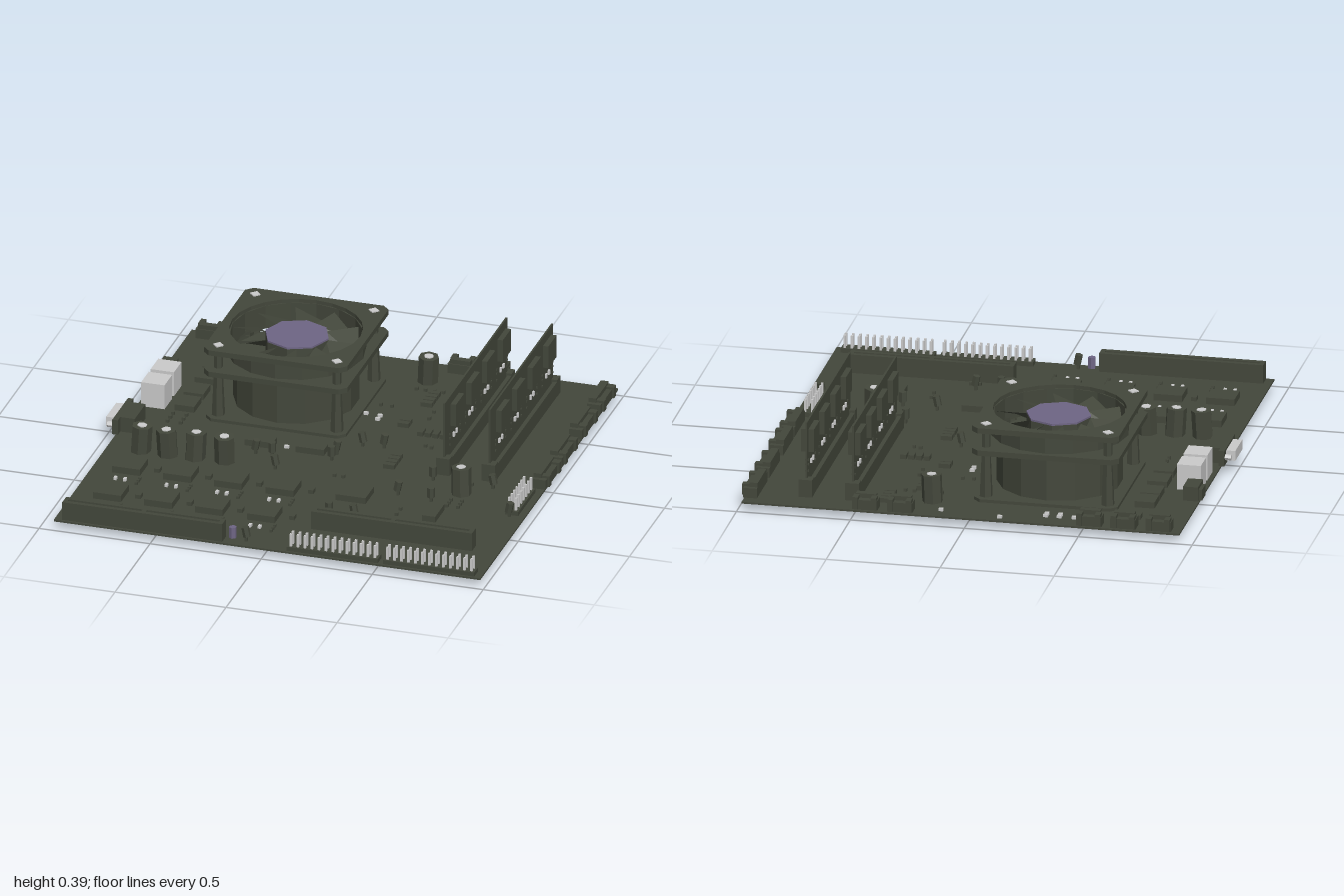
import * as THREE from 'three';

const green = new THREE.MeshStandardMaterial({ color: 0x43473b, flatShading: true });
green.name = 'dark green';
const blade = new THREE.MeshStandardMaterial({ color: 0x43473b, flatShading: true, side: THREE.DoubleSide });
blade.name = 'dark green sheet';
const grey = new THREE.MeshStandardMaterial({ color: 0xcacaca, flatShading: true });
grey.name = 'light grey';
const purple = new THREE.MeshStandardMaterial({ color: 0x6e6584, flatShading: true });
purple.name = 'muted purple';

const TOP = 0.041; // upper face of the board

export function createModel() {
  const root = new THREE.Group();
  root.name = 'computerBoard';

  const add = (name, geo, mat, x = 0, y = 0, z = 0, parent = root) => {
    const m = new THREE.Mesh(geo, mat);
    m.name = name;
    m.position.set(x, y, z);
    parent.add(m);
    return m;
  };
  // box given by its limits
  const box = (name, x0, x1, y0, y1, z0, z1, mat = green, parent = root) =>
    add(name, new THREE.BoxGeometry(x1 - x0, y1 - y0, z1 - z0), mat,
      (x0 + x1) / 2, (y0 + y1) / 2, (z0 + z1) / 2, parent);
  // box centred on x, z and standing on the board
  const chip = (name, x, z, w, d, h, mat = green) =>
    box(name, x - w / 2, x + w / 2, TOP, TOP + h, z - d / 2, z + d / 2, mat);

  box('board', -0.94, 0.98, 0.033, TOP, -0.985, 0.98);

  // cooler with fan
  const cooler = new THREE.Group();
  cooler.name = 'cooler';
  cooler.position.set(-0.305, 0, -0.463);
  root.add(cooler);
  const frame = (name, half, hole, y, t) => {
    const s = new THREE.Shape(), c = 0.03;
    [[-half + c, -half], [half - c, -half], [half, -half + c], [half, half - c],
      [half - c, half], [-half + c, half], [-half, half - c], [-half, -half + c]]
      .forEach(([x, z], i) => (i ? s.lineTo(x, z) : s.moveTo(x, z)));
    if (hole) s.holes.push(new THREE.Path().absarc(0, 0, hole, 0, Math.PI * 2, true));
    const g = new THREE.ExtrudeGeometry(s, { depth: t, bevelEnabled: false, curveSegments: 12 });
    g.rotateX(-Math.PI / 2);
    return add(name, g, green, 0, y, 0, cooler);
  };
  frame('upperFrame', 0.323, 0.288, 0.358, 0.024);
  frame('lowerFrame', 0.323, 0.288, 0.256, 0.024);
  frame('coolerBase', 0.315, 0, TOP, 0.014);
  frame('backPlate', 0.315, 0, 0.024, 0.0095);
  add('fanShroud', new THREE.LatheGeometry([[0.286, 0.27], [0.302, 0.27], [0.302, 0.365], [0.286, 0.365], [0.286, 0.27]]
    .map(p => new THREE.Vector2(...p)), 16), blade, 0, 0, 0, cooler);
  add('heatSink', new THREE.CylinderGeometry(0.272, 0.272, 0.21, 14), green, 0, 0.15, 0, cooler);
  add('fanHub', new THREE.CylinderGeometry(0.142, 0.142, 0.095, 8), green, 0.005, 0.3, 0.003, cooler);
  add('fanHubCap', new THREE.CylinderGeometry(0.142, 0.142, 0.008, 8), purple, 0.005, 0.352, 0.003, cooler);
  for (let i = 0; i < 10; i++) {
    const a = i * Math.PI / 5, b = a + 0.64;
    const g = new THREE.BufferGeometry();
    const p = (r, t, y) => [r * Math.cos(t), y, r * Math.sin(t)];
    g.setAttribute('position', new THREE.Float32BufferAttribute([
      ...p(0.135, a, 0.345), ...p(0.283, a, 0.345), ...p(0.283, b, 0.275), ...p(0.135, b, 0.275)], 3));
    g.setIndex([0, 2, 1, 0, 3, 2]);
    g.computeVertexNormals();
    add('fanBlade', g, blade, 0, 0, 0, cooler);
  }
  for (const sx of [-1, 1]) for (const sz of [-1, 1]) {
    const x = sx * 0.267, z = sz * 0.263;
    add('coolerPillar', new THREE.CylinderGeometry(0.02, 0.03, 0.22, 6), green, x, 0.15, z, cooler);
    add('framePost', new THREE.CylinderGeometry(0.02, 0.02, 0.085, 6), green, x, 0.318, z, cooler);
    add('frameScrew', new THREE.CylinderGeometry(0.024, 0.024, 0.006, 4), grey, x, 0.384, z, cooler);
    add('bottomPeg', new THREE.CylinderGeometry(0.016, 0.016, 0.026, 6), green, x, 0.013, z, cooler);
  }

  // memory sockets and modules
  for (const x of [0.52, 0.725]) {
    box('socketFloor', x - 0.028, x + 0.028, TOP, 0.075, -0.86, 0.04);
    for (const s of [-1, 1])
      box('socketWall', x + s * 0.02 - 0.009, x + s * 0.02 + 0.009, TOP, 0.11, -0.84, 0.02);
    for (const z of [-0.85, 0.035]) box('socketLatch', x - 0.03, x + 0.03, TOP, 0.12, z - 0.023, z + 0.023);
    box('memoryModule', x - 0.004, x + 0.004, 0.06, 0.375, -0.85, 0.04);
    for (let i = 0; i < 4; i++) {
      const z = -0.1 - i * 0.222;
      box('memoryChip', x - 0.028, x + 0.028, 0.232, 0.335, z - 0.059, z + 0.059);
      for (const o of [-0.015, 0.025])
        box('memoryContact', x - 0.012, x + 0.012, 0.167, 0.187, z + o - 0.007, z + o + 0.007, grey);
      for (const o of [-0.07, 0.075])
        for (const y of [0.15, 0.18, 0.2]) box('memoryResistor', x - 0.009, x + 0.009, y - 0.004, y + 0.004, z + o - 0.004, z + o + 0.004);
    }
  }

  // expansion slots: long box with a groove
  for (const [x0, x1, z] of [[-0.905, -0.185, 0.942], [0.14, 0.865, 0.706]]) {
    box('slotFloor', x0, x1, TOP, 0.1, z - 0.028, z + 0.028);
    for (const s of [-1, 1]) box('slotWall', x0, x1, 0.1, 0.125, z + s * 0.018 - 0.01, z + s * 0.018 + 0.01);
    for (const x of [x0 + 0.01, (x0 + x1) / 2, x1 - 0.01]) box('slotKey', x - 0.01, x + 0.01, 0.1, 0.125, z - 0.028, z + 0.028);
  }

  // pin headers
  const pins = (x0, x1, z0, z1, nx, nz) => {
    box('headerBase', x0, x1, TOP, 0.06, z0, z1);
    for (let i = 0; i < nx; i++) for (let j = 0; j < nz; j++) {
      const x = x0 + (x1 - x0) * (i + 0.5) / nx, z = z0 + (z1 - z0) * (j + 0.5) / nz;
      box('headerPin', x - 0.005, x + 0.005, 0.06, 0.118, z - 0.005, z + 0.005, grey);
    }
  };
  pins(0.105, 0.515, 0.915, 0.97, 13, 2);
  pins(0.54, 0.95, 0.915, 0.97, 13, 2);
  pins(0.89, 0.95, 0.1, 0.345, 2, 7);

  // edge sockets: body, raised rim and two ribs
  for (const z of [-0.823, -0.563, -0.278, -0.045]) {
    box('sideSocket', 0.925, 0.985, TOP, 0.085, z - 0.108, z + 0.108);
    box('sideSocketRidge', 0.925, 0.96, 0.085, 0.105, z - 0.09, z + 0.09);
    for (const o of [-0.07, 0.07]) box('sideSocketLug', 0.96, 0.995, 0.045, 0.095, z + o - 0.015, z + o + 0.015);
  }
  for (const x of [-0.845, -0.69, -0.54, 0.29, 0.443]) {
    box('rearSocket', x - 0.055, x + 0.055, TOP, 0.085, -0.975, -0.91);
    box('rearSocketRidge', x - 0.045, x + 0.045, 0.085, 0.105, -0.945, -0.915);
    for (const o of [-0.04, 0.04]) box('rearSocketLug', x + o - 0.012, x + o + 0.012, 0.045, 0.1, -0.985, -0.94);
  }

  // ports on the left edge of the plan
  box('smallPort', -0.935, -0.87, TOP, 0.105, -0.575, -0.47);
  box('smallPortLip', -0.95, -0.93, TOP, 0.09, -0.56, -0.485);
  for (const z of [-0.39, -0.255]) box('whitePort', -0.92, -0.815, TOP, 0.155, z - 0.054, z + 0.054, grey);
  box('screenPortBody', -0.935, -0.865, TOP, 0.11, -0.09, 0.065);
  box('screenPortFlange', -0.955, -0.93, TOP, 0.11, -0.125, 0.1);
  box('screenPortShell', -0.995, -0.95, 0.055, 0.1, -0.085, 0.06, grey);
  for (const z of [-0.105, 0.08]) {
    const nut = add('screenPortNut', new THREE.CylinderGeometry(0.013, 0.013, 0.035, 6), grey, -0.965, 0.077, z);
    nut.rotation.z = Math.PI / 2;
  }

  // capacitors
  [[-0.79, 0.218], [-0.665, 0.222], [-0.545, 0.217], [-0.413, 0.208], [0.65, 0.205], [0.18, -0.805]].forEach(([x, z], i) => {
    const cap = new THREE.Group();
    cap.name = 'capacitor';
    cap.position.set(x, TOP - 0.003, z);
    cap.rotation.set(0, i * 0.5, (i % 2 ? 0.06 : -0.06));
    root.add(cap);
    add('capacitorBody', new THREE.CylinderGeometry(0.045, 0.045, 0.125, 7), green, 0, 0.0625, 0, cap);
    add('capacitorTop', new THREE.CylinderGeometry(0.022, 0.022, 0.005, 6), grey, 0, 0.126, 0, cap);
  });

  // regulator chips with their contacts
  for (const z of [0.402, 0.672]) for (const x of [-0.78, -0.55, -0.322, -0.088]) {
    chip('largeChip', x, z, 0.125, 0.113, 0.03);
    for (const o of [-0.028, 0.015]) chip('chipContact', x + o, z + 0.117, 0.013, 0.02, 0.012, grey);
    for (const o of [0.09, 0.115, 0.14]) chip('resistor', x + 0.073, z + o, 0.012, 0.012, 0.012);
    chip('smallChip', x + 0.122, z - 0.015, 0.024, 0.035, 0.018);
  }
  // other chips: x, z, width, depth
  for (const [x, z, w, d] of [[-0.727, -0.65, 0.088, 0.1], [-0.727, -0.538, 0.088, 0.1], [-0.727, -0.388, 0.088, 0.105],
    [-0.727, -0.258, 0.088, 0.105], [-0.318, 0.003, 0.128, 0.058], [-0.088, 0.003, 0.128, 0.058],
    [0.222, 0.37, 0.135, 0.12], [0.6, 0.45, 0.06, 0.13]]) chip('flatChip', x, z, w, d, 0.028);

  // resistor rows: x, z, step x, step z, count
  for (const [x, z, dx, dz, n] of [[0.25, -0.675, 0, 0.034, 4], [0.375, -0.855, 0, 0.034, 4], [0.28, -0.045, 0, 0.034, 4],
    [0.31, -0.3, 0.034, 0, 4], [0.215, -0.385, 0, 0.034, 2], [-0.728, -0.83, 0.034, 0, 2]])
    for (let i = 0; i < n; i++) chip('resistorBlock', x + dx * i, z + dz * i, dx ? 0.026 : 0.05, dx ? 0.045 : 0.026, 0.02);

  // transistors
  [[-0.31, 0.096], [-0.235, 0.1], [-0.185, 0.215], [0.025, 0], [0.02, 0.06], [0.105, -0.112], [0.2, -0.122], [0.495, 0.118],
    [0.765, 0.118], [0.395, 0.3], [0.55, 0.32], [0.285, 0.58], [0.915, 0.358], [0.175, 0.588], [-0.09, 0.93]].forEach(([x, z], i) => {
    const t = add('transistor', new THREE.CylinderGeometry(0.017, 0.017, 0.045, 6), green, x, 0.085, z);
    t.rotation.z = 0.2 * (i % 3 - 1);
    add('transistorLeg', new THREE.BoxGeometry(0.012, 0.03, 0.012), green, x, 0.053, z);
  });
  add('indicator', new THREE.CylinderGeometry(0.017, 0.017, 0.05, 6), purple, -0.15, 0.075, 0.93);

  // scattered tiny parts: x, z, step x, step z, count
  for (const [x, z, dx, dz, n] of [[0.16, -0.71, 0.04, 0, 5], [0.06, -0.515, 0.05, 0, 2], [0.3, -0.515, 0, 0.07, 2],
    [-0.765, -0.165, 0, 0.04, 3], [-0.705, -0.165, 0, 0.04, 3], [0.63, 0.29, 0, 0.03, 3], [0.68, 0.29, 0, 0.03, 3],
    [0.365, -0.185, 0.03, 0.01, 2], [0.45, 0.44, 0, 0.055, 2], [0.28, 0.64, 0.04, 0, 2], [0.08, 0.21, 0.04, 0, 2], [0.62, 0.12, 0.05, 0, 2]])
    for (let i = 0; i < n; i++) chip('tinyPart', x + dx * i, z + dz * i, 0.014, 0.014, 0.014);
  for (const [x, z] of [[-0.46, -0.895], [-0.395, -0.895], [-0.335, -0.895], [-0.395, -0.87], [-0.335, -0.87],
    [-0.145, -0.95], [0.12, -0.915], [0.09, -0.41], [0.09, -0.375], [0.025, -0.415], [-0.2, 0.003]])
    chip('solderPad', x, z, 0.02, 0.014, 0.012, grey);

  return root;
}
